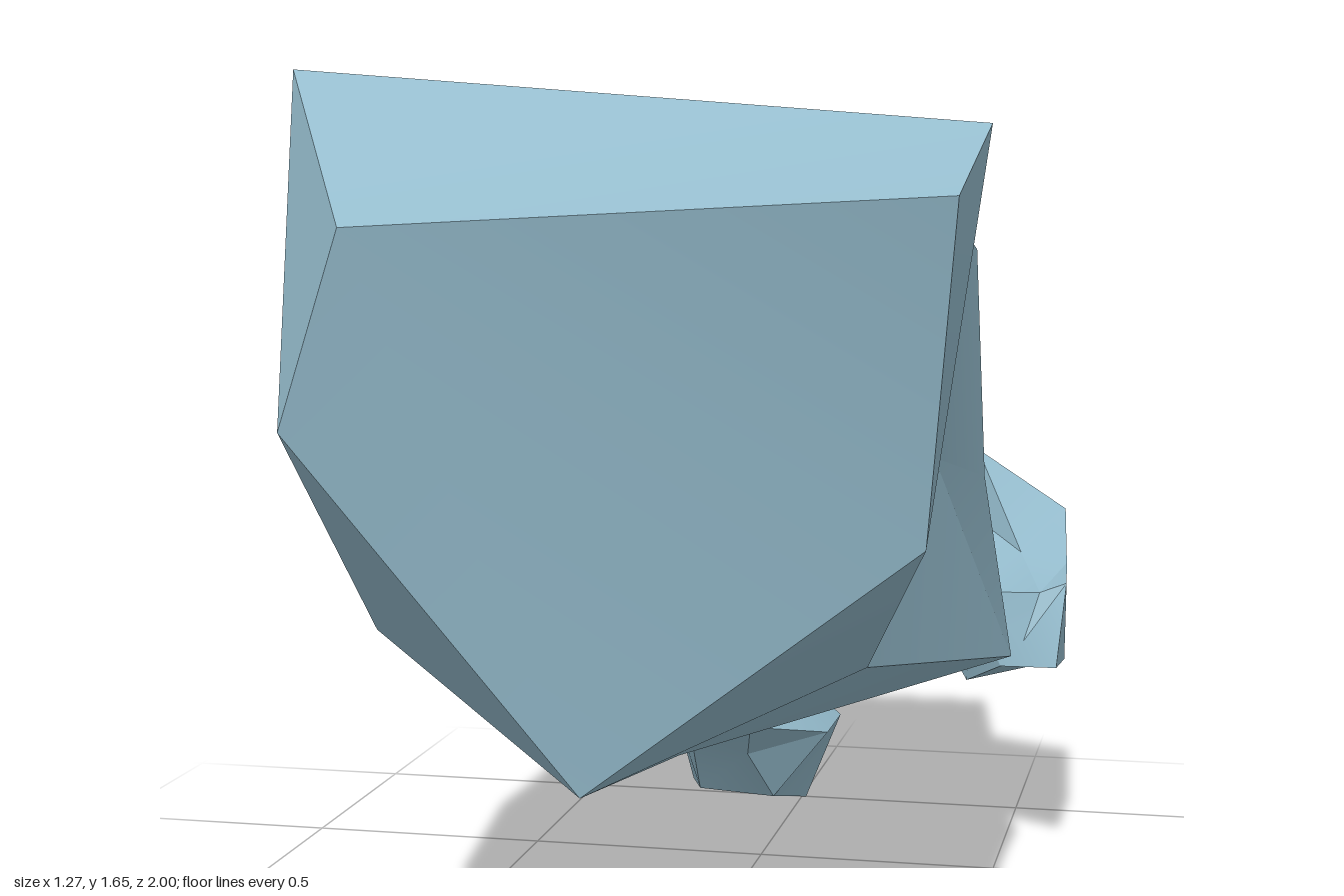
import * as THREE from 'three';
import { toCreasedNormals } from 'three/addons/utils/BufferGeometryUtils.js';

const distance = (p, q) => Math.hypot(p[0] - q[0], p[1] - q[1], p[2] - q[2]);

// Skins matching rings (back to front, clockwise seen from the front); open at the back, capped in front.
// Each four-sided patch is split along its shorter diagonal.
function loft(rings, crease) {
  const pos = [];
  const tri = (...corners) => corners.forEach((p) => pos.push(...p));
  for (let i = 0; i < rings.length - 1; i++) {
    const back = rings[i], front = rings[i + 1], n = back.length;
    for (let j = 0; j < n; j++) {
      const a = back[j], b = back[(j + 1) % n], c = front[(j + 1) % n], d = front[j];
      if (distance(a, c) < distance(b, d)) {
        tri(a, d, c);
        tri(a, c, b);
      } else {
        tri(a, d, b);
        tri(d, c, b);
      }
    }
  }
  const cap = rings[rings.length - 1];
  for (let j = 1; j < cap.length - 1; j++) tri(cap[0], cap[j + 1], cap[j]);
  const geo = new THREE.BufferGeometry();
  geo.setAttribute('position', new THREE.Float32BufferAttribute(pos, 3));
  return toCreasedNormals(geo, crease);
}

// Ring order for the boulder: top left, top right, right middle, bottom right, bottom, left middle.
const boulder = [
  [[-0.44, 1.33, -1], [0.36, 1.32, -1], [0.36, 0.75, -1], [0.31, 0.34, -1], [-0.2, 0.31, -1], [-0.46, 0.72, -1]],
  [[-0.49, 1.36, -0.6], [0.46, 1.31, -0.38], [0.48, 0.85, -0.4], [0.54, 0.48, -0.4], [-0.48, 0.34, -0.53], [-0.49, 0.7, -0.5]],
  [[-0.59, 1.47, 0.04], [0.44, 1.43, 0.05], [0.44, 0.95, 0.1], [0.34, 0.58, 0.24], [-0.01, 0.4, 0.25], [-0.51, 0.66, 0.03]],
  [[-0.6, 1.65, 0.6], [0.58, 1.56, 0.5], [0.5, 0.87, 0.67], [0.5, 0.87, 0.67], [-0.06, 0.45, 0.77], [-0.48, 0.68, 0.57]],
  [[-0.38, 1.4, 1], [0.565, 1.45, 0.83], [0.5, 0.87, 0.67], [0.5, 0.87, 0.67], [-0.06, 0.45, 0.77], [-0.51, 1.07, 0.94]],
];

// Small stones clustered round the open back end.
const topStone = [
  [[-0.46, 1.34, -1], [-0.41, 1.44, -1], [-0.28, 1.375, -1], [-0.16, 1.31, -1], [-0.42, 1.2, -1]],
  [[-0.57, 1.38, -0.82], [-0.38, 1.59, -0.8], [-0.32, 1.47, -0.82], [-0.27, 1.35, -0.8], [-0.45, 1.33, -0.8]],
  [[-0.52, 1.38, -0.64], [-0.49, 1.45, -0.63], [-0.45, 1.45, -0.63], [-0.3, 1.36, -0.69], [-0.42, 1.34, -0.66]],
];
const rightStone = [
  [[-0.64, 0.4, -1], [-0.45, 0.45, -1], [-0.13, 0.3, -1], [-0.26, 0.19, -1], [-0.37, 0.13, -1], [-0.53, 0.2, -1], [-0.64, 0.3, -1]],
  [[-0.64, 0.4, -0.73], [-0.48, 0.45, -0.72], [-0.3, 0.33, -0.75], [-0.26, 0.19, -0.85], [-0.37, 0.13, -0.85], [-0.53, 0.13, -0.85], [-0.64, 0.31, -0.73]],
  [[-0.56, 0.42, -0.63], [-0.46, 0.43, -0.6], [-0.44, 0.35, -0.6], [-0.36, 0.27, -0.7], [-0.45, 0.17, -0.7], [-0.53, 0.22, -0.68], [-0.56, 0.25, -0.65]],
];
const bottomStone = [
  [[-0.25, 0.3, -1], [-0.05, 0.33, -1], [0.09, 0.2, -1], [0.01, 0, -1], [-0.26, 0.03, -1]],
  [[-0.25, 0.21, -0.8], [-0.06, 0.33, -0.75], [0.09, 0.2, -0.82], [-0.03, 0.05, -0.8], [-0.2, 0.06, -0.8]],
  [[-0.23, 0.22, -0.68], [-0.13, 0.33, -0.58], [-0.04, 0.26, -0.58], [-0.07, 0.17, -0.7], [-0.2, 0.18, -0.72]],
];
const leftStone = [
  [[0.36, 0.7, -1], [0.4, 0.83, -1], [0.6, 0.7, -1], [0.57, 0.38, -1], [0.35, 0.35, -1]],
  [[0.42, 0.55, -0.73], [0.52, 0.63, -0.8], [0.62, 0.61, -0.8], [0.62, 0.4, -0.78], [0.41, 0.35, -0.75]],
  [[0.55, 0.48, -0.56], [0.58, 0.58, -0.59], [0.635, 0.6, -0.6], [0.625, 0.44, -0.49], [0.5, 0.42, -0.58]],
];

export function createModel() {
  const group = new THREE.Group();
  group.name = 'rockFormation';
  const stone = new THREE.MeshStandardMaterial({ color: 0x95bccd, side: THREE.DoubleSide });
  stone.name = 'blueGreyStone';
  const parts = { boulder, topStone, rightStone, bottomStone, leftStone };
  for (const [name, rings] of Object.entries(parts)) {
    const mesh = new THREE.Mesh(loft(rings, 0.42), stone);
    mesh.name = name;
    group.add(mesh);
  }
  return group;
}
